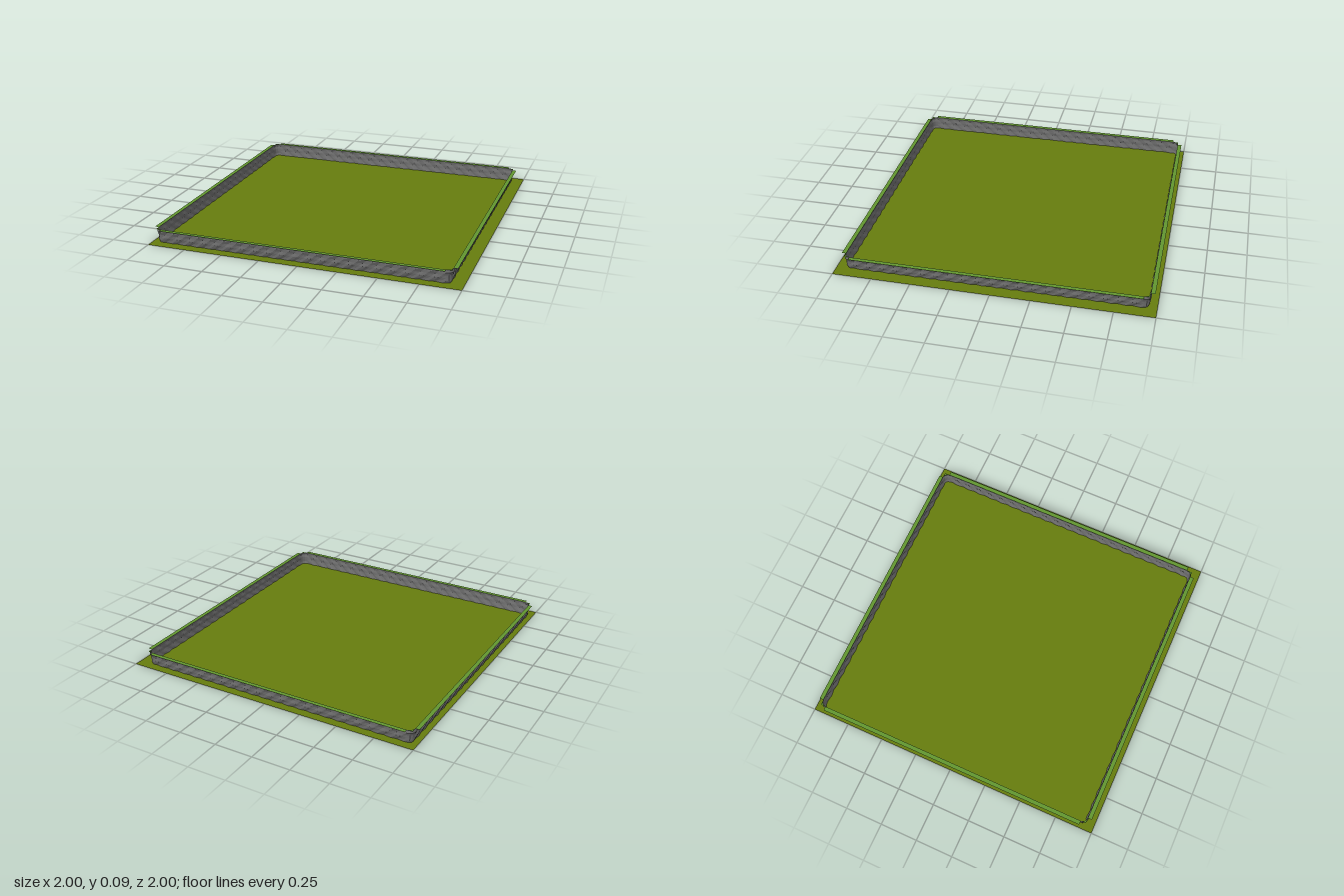
import * as THREE from 'three';

const CX = -0.022, CZ = -0.005, HALF = 0.948; // centre and half size of the cliff loop
const CORNER = 0.035, TOP = 0.088, TILES = 21;

const makeMaterial = (name, color, flatShading = false) => {
  const m = new THREE.MeshStandardMaterial({ color, flatShading, side: THREE.DoubleSide });
  m.name = name;
  return m;
};

// Rounded square loop: position, outward normal and a phase for the rock bumps
function cliffPath() {
  const points = [], inner = HALF - CORNER, steps = TILES * 4;
  for (let side = 0; side < 4; side++) {
    const a = side * Math.PI / 2, nx = Math.cos(a), nz = Math.sin(a);
    for (let i = 0; i <= steps; i++) {
      const t = (i / steps * 2 - 1) * inner;
      points.push({ x: nx * HALF - nz * t, z: nz * HALF + nx * t, nx, nz, phase: i });
    }
    for (let k = 1; k < 3; k++) {
      const b = a + k * Math.PI / 6, c = Math.cos(b), s = Math.sin(b);
      points.push({
        x: (nx - nz) * inner + c * CORNER, z: (nz + nx) * inner + s * CORNER,
        nx: c, nz: s, phase: 0,
      });
    }
  }
  return points;
}

// Rocky band: each row is the loop pushed out by a leaning profile plus repeating bumps
function cliffGeometry() {
  const path = cliffPath(), n = path.length, position = [], index = [];
  const profile = [[0, -0.008], [0.016, -0.004], [0.034, 0.001], [0.052, 0], [0.07, 0.004], [TOP, 0.002]];
  profile.forEach(([y, lean], row) => {
    for (const p of path) {
      const bump = 0.003 * Math.sin((p.phase + row * 1.3) * Math.PI / 2);
      const d = lean + (row === profile.length - 1 ? bump * 0.5 : bump);
      position.push(CX + p.x + p.nx * d, y, CZ + p.z + p.nz * d);
    }
  });
  for (let r = 0; r < profile.length - 1; r++) {
    for (let i = 0; i < n; i++) {
      const a = r * n + i, b = r * n + (i + 1) % n;
      index.push(a, a + n, b, b, a + n, b + n);
    }
  }
  const g = new THREE.BufferGeometry();
  g.setAttribute('position', new THREE.Float32BufferAttribute(position, 3));
  g.setIndex(index);
  g.computeVertexNormals();
  return g;
}

export function createModel() {
  const model = new THREE.Group();
  model.name = 'fieldTile';
  const ground = makeMaterial('olive ground', 0x667c0e);
  const grass = makeMaterial('light grass', 0x629630);
  const rock = makeMaterial('grey rock', 0x6a6a6a, true);

  const add = (name, geometry, material) => {
    const mesh = new THREE.Mesh(geometry, material);
    mesh.name = name;
    model.add(mesh);
    return mesh;
  };

  add('ground', new THREE.PlaneGeometry(2, 2).rotateX(-Math.PI / 2), ground);
  add('cliffBand', cliffGeometry(), rock);

  // Flat grass ledges outside the cliff tops
  const ledge = (name, x0, x1, z0, z1) => {
    const mesh = add(name, new THREE.PlaneGeometry(x1 - x0, z1 - z0).rotateX(-Math.PI / 2), grass);
    mesh.position.set((x0 + x1) / 2, TOP, (z0 + z1) / 2);
  };
  const e = HALF, run = HALF - CORNER, out = 0.027;
  ledge('backLedge', CX - run, CX + run, CZ - e - out, CZ - e);
  ledge('frontLedge', CX - run, CX + run, CZ + e, CZ + e + out);
  ledge('rightLedge', CX - e - out, CX - e, CZ - run, CZ + run);
  ledge('leftLedge', CX + e, CX + e + out, CZ - run, CZ + run);

  // Corner grass patches between the rounded cliff and its square corner
  for (const sx of [-1, 1]) {
    for (const sz of [-1, 1]) {
      const s = new THREE.Shape();
      s.moveTo(sx * e, sz * run);
      s.lineTo(sx * e, sz * e);
      s.lineTo(sx * run, sz * e);
      s.lineTo(sx * (run + CORNER * 0.7), sz * (run + CORNER * 0.7));
      // Mirrored in y so the rotated shape faces up
      const g = new THREE.ShapeGeometry(s).rotateX(-Math.PI / 2);
      add('cornerLedge', g, grass).position.set(CX, TOP, CZ);
    }
  }
  return model;
}
